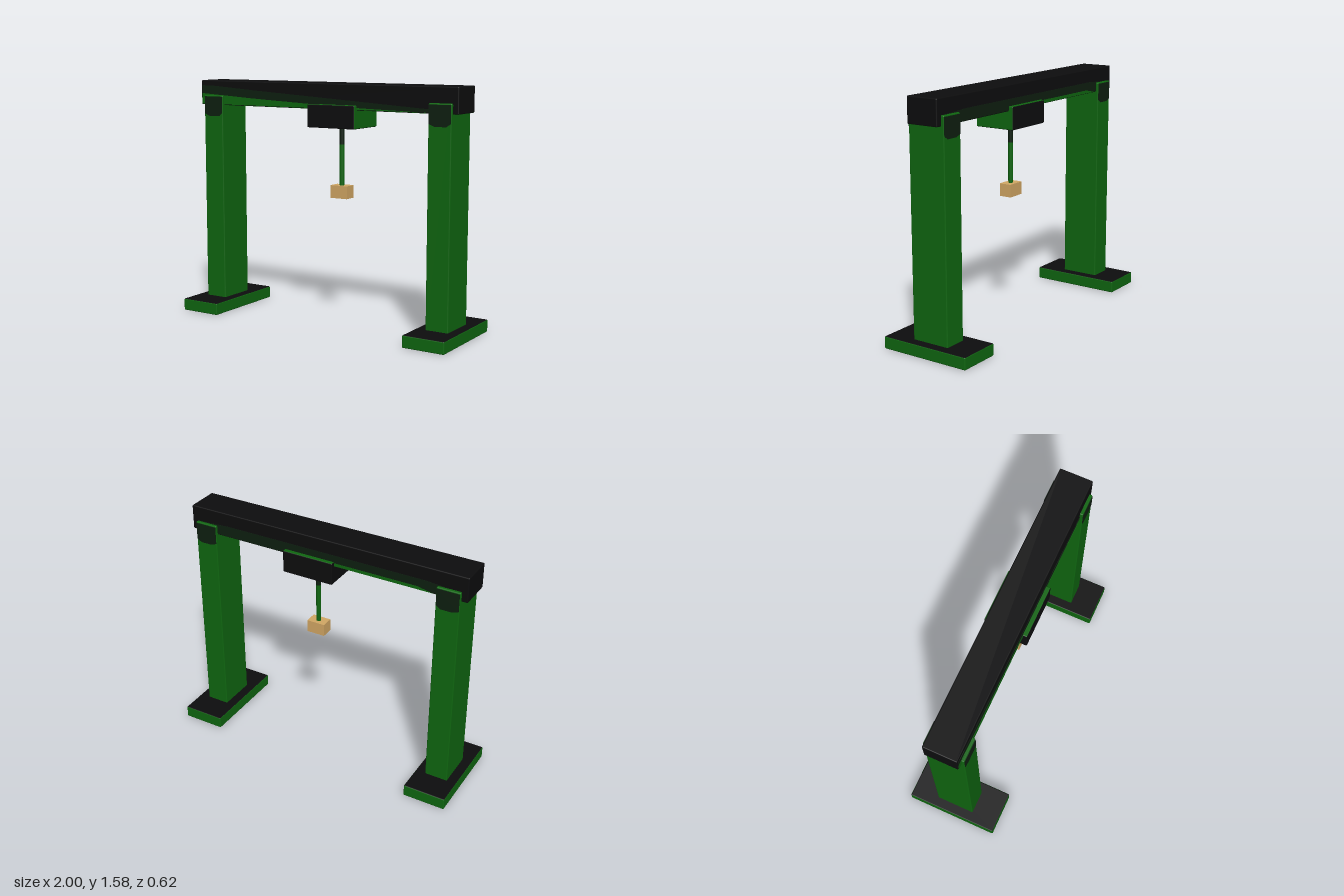
import * as THREE from 'three';
import { RoundedBoxGeometry } from 'three/addons/geometries/RoundedBoxGeometry.js';

export function createModel() {
  const paint = (name, color) => {
    const m = new THREE.MeshStandardMaterial({ color });
    m.name = name;
    return m;
  };
  const green = paint('green paint', 0x0f6610);
  const black = paint('black paint', 0x0d0d0e);
  const worn = paint('dark green paint', 0x0e1f10);
  const wood = paint('wood', 0xd2a764);

  const model = new THREE.Group();
  model.name = 'gantryCrane';

  const add = (name, geometry, material, x, y, z, parent = model) => {
    const mesh = new THREE.Mesh(geometry, material);
    mesh.name = name;
    mesh.position.set(x, y, z);
    parent.add(mesh);
    return mesh;
  };
  // Box given by its limits; materials run +x, -x, +y, -y, +z, -z
  const block = (name, [x0, x1], [y0, y1], [z0, z1], material, parent) =>
    add(name, new RoundedBoxGeometry(x1 - x0, y1 - y0, z1 - z0, 2, 0.007), material,
      (x0 + x1) / 2, (y0 + y1) / 2, (z0 + z1) / 2, parent);
  // Thin painted panel in the xy plane, centred on z
  const panel = (name, points, material, z, parent) => {
    const shape = new THREE.Shape(points.map(([x, y]) => new THREE.Vector2(x, y)));
    const geometry = new THREE.ExtrudeGeometry(shape, { depth: 0.004, bevelEnabled: false });
    return add(name, geometry, material, 0, 0, z - 0.002, parent);
  };

  // Legs with their feet and the dark patches where they meet the beam
  for (const side of [-1, 1]) {
    const leg = new THREE.Group();
    leg.name = side > 0 ? 'leftLeg' : 'rightLeg';
    model.add(leg);
    const span = (a, b) => (side > 0 ? [a, b] : [-b, -a]);
    block('foot', span(0.715, 1), [0, 0.08], [-0.31, 0.31],
      [green, green, black, green, green, green], leg);
    block('post', span(0.78, 0.935), [0.02, 1.475], [-0.13, 0.13], green, leg);
    const [a, b] = span(0.784, 0.931);
    const patch = [[a, 1.35], [a + 0.04, 1.335], [b - 0.03, 1.335], [b, 1.355], [b, 1.467], [a, 1.467]];
    for (const z of [-0.13, 0.13]) panel('postPatch', patch, worn, z, leg);
  }

  // Cross beam with a green underside
  block('beam', [-0.975, 0.972], [1.41, 1.575], [-0.11, 0.11],
    [black, black, black, green, black, black]);

  // Tapering paint bands on the front and back of the beam
  panel('frontDarkBand', [[-0.965, 1.416], [0.8, 1.416], [0.8, 1.435], [-0.55, 1.517], [-0.88, 1.54], [-0.965, 1.54]],
    worn, 0.11);
  panel('frontGreenBand', [[-0.967, 1.415], [0.75, 1.415], [0.2, 1.428], [-0.5, 1.46], [-0.967, 1.487]],
    green, 0.1115);
  panel('backDarkBand', [[-0.92, 1.416], [0.92, 1.416], [0.92, 1.475], [0.7, 1.487], [-0.7, 1.487], [-0.92, 1.47]],
    worn, -0.11);
  panel('backGreenBand', [[-0.75, 1.415], [0.05, 1.415], [0, 1.435], [-0.65, 1.435]],
    green, -0.1115);

  // Trolley
  block('trolley', [-0.085, 0.268], [1.293, 1.442], [-0.14, 0.14],
    [green, black, green, black, black, black]);

  // Hoist rope
  const rope = (name, y0, y1, material) =>
    add(name, new THREE.CylinderGeometry(0.016, 0.016, y1 - y0, 16), material, 0.092, (y0 + y1) / 2, 0);
  rope('ropeTop', 1.18, 1.3, worn);
  rope('rope', 0.91, 1.18, green);

  // Hanging crate
  add('crate', new THREE.BoxGeometry(0.125, 0.083, 0.083), wood, 0.092, 0.874, 0);

  return model;
}
